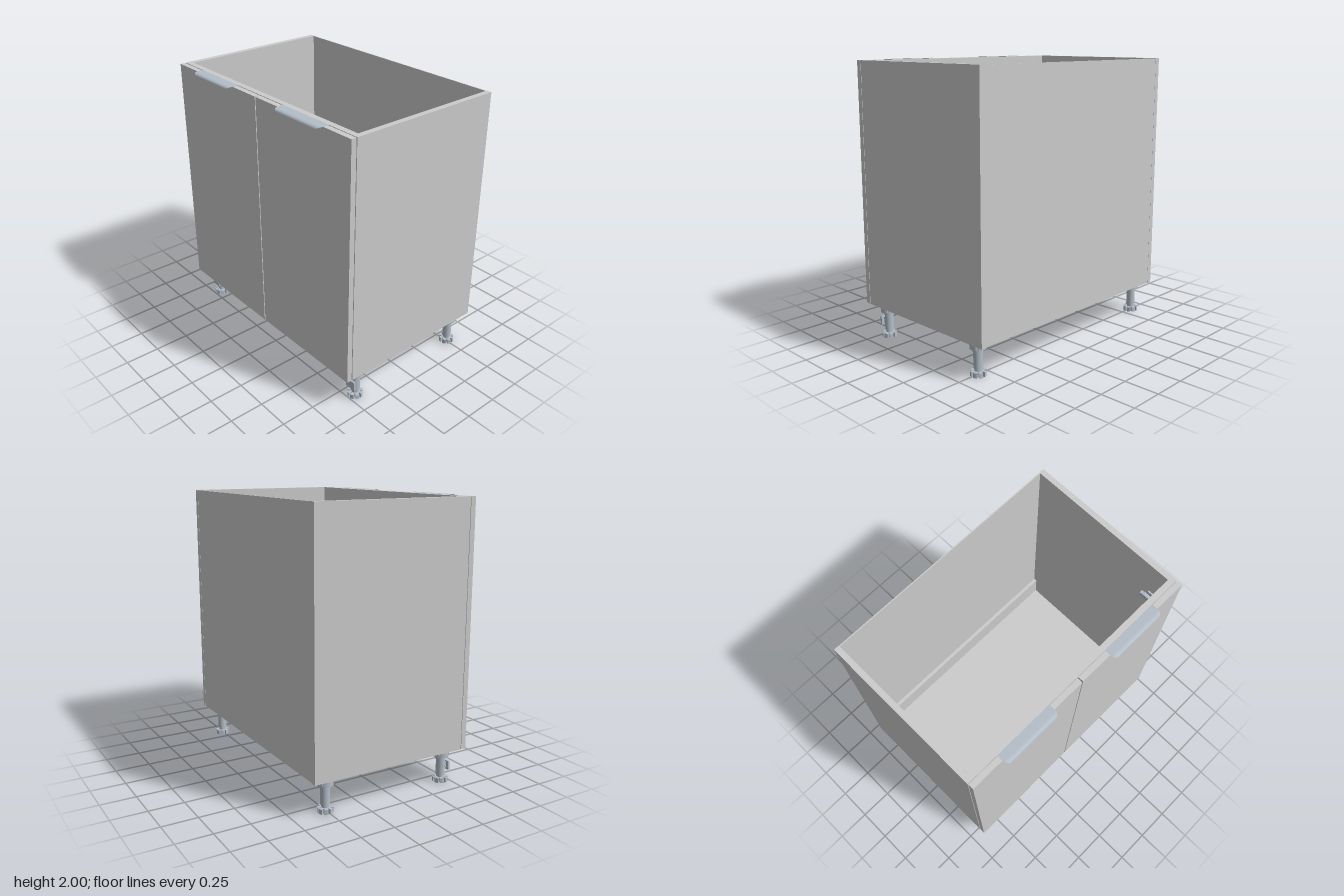
import * as THREE from 'three';

const grey = new THREE.MeshStandardMaterial({ color: 0xcccccc });
const metal = new THREE.MeshStandardMaterial({ color: 0xb4bec8 });
const sheet = new THREE.MeshStandardMaterial({ color: 0xb4bec8, side: THREE.DoubleSide });

function add(parent, name, geometry, material, x = 0, y = 0, z = 0) {
  const mesh = new THREE.Mesh(geometry, material);
  mesh.name = name;
  mesh.position.set(x, y, z);
  parent.add(mesh);
  return mesh;
}

// Box given by its lower and upper limits on each axis
function box(parent, name, [x0, x1], [y0, y1], [z0, z1], material = grey) {
  return add(parent, name, new THREE.BoxGeometry(x1 - x0, y1 - y0, z1 - z0), material,
    (x0 + x1) / 2, (y0 + y1) / 2, (z0 + z1) / 2);
}

function cylinder(parent, name, r, y0, y1, sides = 24) {
  return add(parent, name, new THREE.CylinderGeometry(r, r, y1 - y0, sides), metal, 0, (y0 + y1) / 2, 0);
}

// Disc with radial notches, extruded upwards
function notchedDisc(radius, inner, height, notches) {
  const shape = new THREE.Shape();
  const step = (Math.PI * 2) / notches;
  const gap = 0.13;
  for (let i = 0; i < notches; i++) {
    const a = i * step + gap, b = (i + 1) * step - gap;
    const start = [inner * Math.cos(a), inner * Math.sin(a)];
    if (i === 0) shape.moveTo(...start); else shape.lineTo(...start);
    shape.lineTo(radius * Math.cos(a), radius * Math.sin(a));
    shape.absarc(0, 0, radius, a, b, false);
    shape.lineTo(inner * Math.cos(b), inner * Math.sin(b));
  }
  shape.closePath();
  return new THREE.ExtrudeGeometry(shape, { depth: height, bevelEnabled: false, curveSegments: 6 })
    .rotateX(-Math.PI / 2);
}

// Adjustable leg: notched foot, threaded stem, collar and socket
function makeLeg(withClip) {
  const leg = new THREE.Group();
  leg.name = 'leg';
  add(leg, 'foot', notchedDisc(0.054, 0.036, 0.034, 8), metal);
  cylinder(leg, 'footNeck', 0.026, 0.03, 0.07);
  cylinder(leg, 'stem', 0.032, 0.05, 0.19);
  cylinder(leg, 'collar', 0.036, 0.165, 0.19);
  add(leg, 'socket', notchedDisc(0.057, 0.042, 0.05, 4), metal, 0, 0.19, 0).rotation.y = Math.PI / 4;
  // Plinth clip on the front legs
  if (withClip) {
    box(leg, 'clipPlate', [-0.042, 0.042], [0.085, 0.15], [0.036, 0.05], metal);
    box(leg, 'clipArm', [-0.02, 0.02], [0.095, 0.14], [0.025, 0.04], metal);
  }
  return leg;
}

// Bent sheet grip: flat on top of the door, curling down at the front
function gripGeometry(halfWidth) {
  const profile = [[2, 0.55], [2, 0.595], [2, 0.61], [1.998, 0.62], [1.994, 0.628], [1.988, 0.633], [1.98, 0.635]];
  const geometry = new THREE.PlaneGeometry(2, 1, 24, profile.length - 1);
  const p = geometry.attributes.position;
  for (let i = 0; i < p.count; i++) {
    const [y, z] = profile[Math.round((0.5 - p.getY(i)) * (profile.length - 1))];
    const t = Math.max(0, (z - 0.595) / 0.04);
    const inset = 0.035 * (1 - Math.sqrt(Math.max(0, 1 - t * t)));
    p.setXYZ(i, p.getX(i) * (halfWidth - inset), y, z);
  }
  geometry.computeVertexNormals();
  return geometry;
}

// Hinge: plate on the side panel, arm and cup on the door; built for the +x side
function makeHinge() {
  const hinge = new THREE.Group();
  hinge.name = 'hinge';
  box(hinge, 'mountingPlate', [0.873, 0.886], [-0.05, 0.05], [0.41, 0.47], metal);
  const side = new THREE.Shape([[0.365, -0.012], [0.4, -0.02], [0.55, -0.02], [0.55, 0.02], [0.4, 0.02], [0.365, 0.012]]
    .map(([z, y]) => new THREE.Vector2(-z, y)));
  const arm = new THREE.ExtrudeGeometry(side, { depth: 0.025, bevelEnabled: false }).rotateY(Math.PI / 2);
  add(hinge, 'arm', arm, metal, 0.848, 0, 0);
  add(hinge, 'cup', new THREE.CylinderGeometry(0.035, 0.035, 0.012, 24).rotateX(Math.PI / 2), metal, 0.83, 0, 0.55);
  return hinge;
}

export function createModel() {
  const model = new THREE.Group();
  model.name = 'baseCabinet';

  // Carcass, open at the top
  box(model, 'bottomPanel', [-0.885, 0.885], [0.24, 0.28], [-0.628, 0.548]);
  box(model, 'backPanel', [-0.885, 0.885], [0.243, 1.997], [-0.634, -0.626]);
  box(model, 'frontRail', [-0.885, 0.885], [1.81, 1.998], [0.506, 0.548]);
  box(model, 'lowerBackRail', [-0.885, 0.885], [0.28, 0.46], [-0.626, -0.6]);

  for (const s of [-1, 1]) {
    const span = (a, b) => (s > 0 ? [a, b] : [-b, -a]);
    box(model, 'sidePanel', span(0.885, 0.925), [0.24, 1.998], [-0.635, 0.548]);
    box(model, 'door', span(0.004, 0.924), [0.241, 1.997], [0.553, 0.592]);
    add(model, 'handle', gripGeometry(0.22), sheet, s * 0.465, 0, 0);

    for (const y of [0.58, 1.66]) {
      const hinge = makeHinge();
      hinge.position.y = y;
      hinge.scale.x = s;
      model.add(hinge);
    }
    for (const z of [0.44, -0.51]) {
      const leg = makeLeg(z > 0);
      leg.position.set(s * 0.84, 0, z);
      model.add(leg);
    }
  }
  return model;
}
